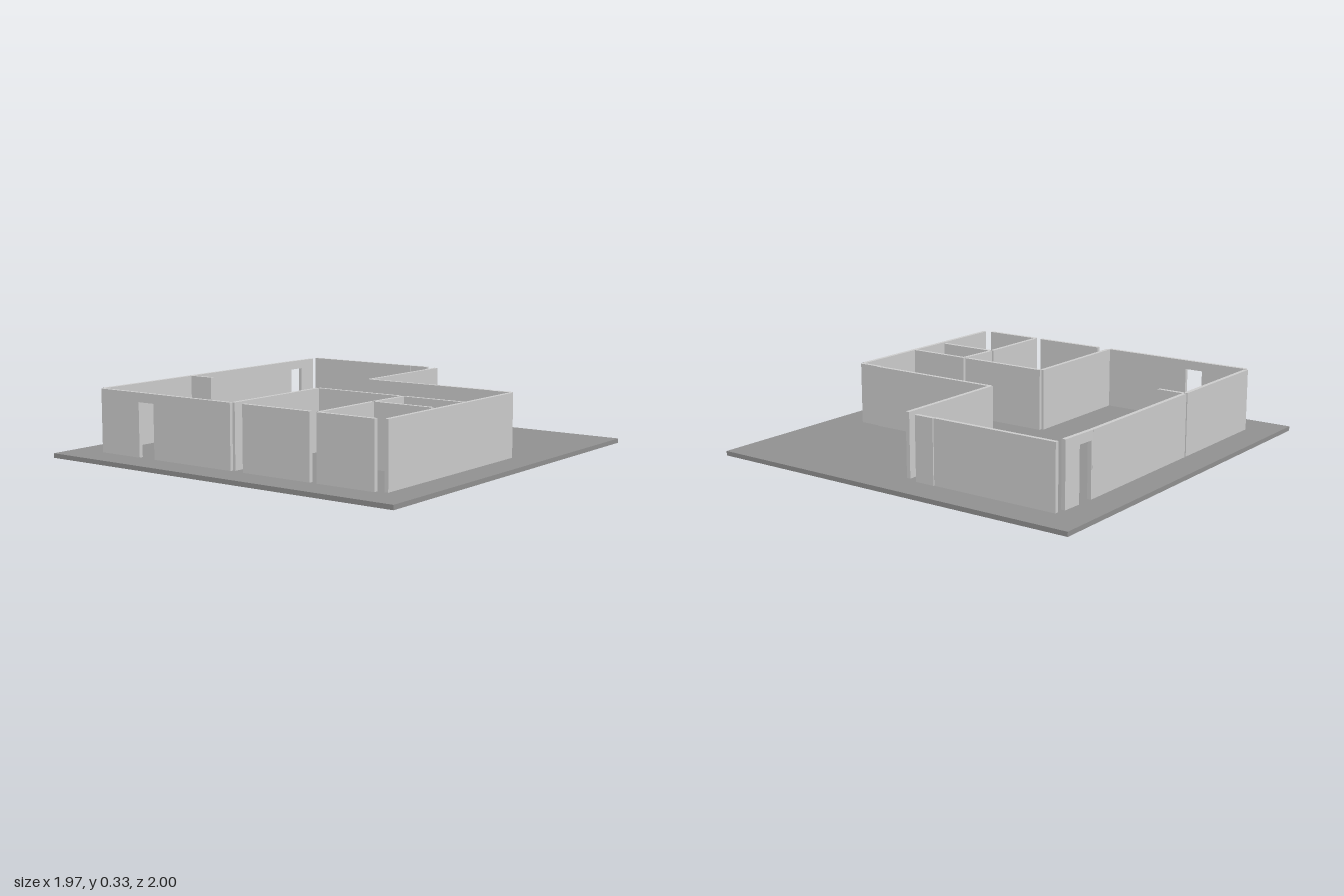
import * as THREE from 'three';

const FLOOR = 0.022, TOP = 0.33, DOOR = 0.285, THICK = 0.02;
const wallMaterial = new THREE.MeshStandardMaterial({ color: 0xcccccc });
const floorMaterial = new THREE.MeshStandardMaterial({ color: 0x909090 });

// Upright wall between two plan points; door = [start, end] measured along it
function wall(name, x1, z1, x2, z2, door) {
  const length = Math.hypot(x2 - x1, z2 - z1);
  const h = TOP - FLOOR;
  const outline = new THREE.Shape();
  outline.moveTo(0, 0);
  if (door) {
    const head = DOOR - FLOOR;
    outline.lineTo(door[0], 0);
    outline.lineTo(door[0], head);
    outline.lineTo(door[1], head);
    outline.lineTo(door[1], 0);
  }
  outline.lineTo(length, 0);
  outline.lineTo(length, h);
  outline.lineTo(0, h);
  const geometry = new THREE.ExtrudeGeometry(outline, { depth: THICK, bevelEnabled: false });
  geometry.translate(0, 0, -THICK / 2);
  const mesh = new THREE.Mesh(geometry, wallMaterial);
  mesh.name = name;
  mesh.position.set(x1, FLOOR, z1);
  mesh.rotation.y = -Math.atan2(z2 - z1, x2 - x1);
  return mesh;
}

export function createModel() {
  const model = new THREE.Group();
  model.name = 'floorPlan';

  // Ground slab
  const slab = new THREE.Mesh(new THREE.BoxGeometry(1.97, FLOOR, 2), floorMaterial);
  slab.name = 'floorSlab';
  slab.position.y = FLOOR / 2;
  model.add(slab);

  const walls = new THREE.Group();
  walls.name = 'walls';
  const plan = [
    // Outer walls, back and right side
    ['backWall', -0.815, -0.832, -0.167, -0.832],
    ['backWallEnd', -0.165, -0.836, -0.065, -0.836],
    ['rightWallWithDoor', -0.815, -0.785, -0.823, -0.585, [0.1, 0.185]],
    ['rightWall', -0.823, -0.59, -0.823, 0.2],
    ['rightFrontWall', -0.823, 0.21, -0.823, 0.815],
    // Front walls
    ['frontWallWithDoor', -0.815, 0.832, -0.007, 0.832, [0.245, 0.34]],
    ['frontMiddleWall', 0.065, 0.832, 0.44, 0.832],
    ['frontLeftWall', 0.477, 0.832, 0.78, 0.832],
    // Left side and the recessed back corner
    ['leftWall', 0.822, -0.195, 0.822, 0.817],
    ['recessEndWall', 0.70, -0.208, 0.82, -0.208],
    ['recessWall', 0, -0.215, 0.705, -0.215],
    ['recessSideWall', -0.003, -0.823, -0.003, -0.21],
    // Inner partitions
    ['stubWall', -0.815, 0.205, -0.68, 0.205],
    ['hallWall', -0.003, 0.21, -0.003, 0.825],
    ['roomBackWall', 0, 0.205, 0.468, 0.205],
    ['smallRoomBackWall', 0.485, 0.205, 0.815, 0.205],
    ['slantedPartition', 0.489, 0.212, 0.478, 0.42],
    ['straightPartition', 0.477, 0.43, 0.477, 0.825],
    ['crossPartition', 0.485, 0.426, 0.79, 0.426],
  ];
  for (const entry of plan) walls.add(wall(...entry));
  model.add(walls);
  return model;
}
